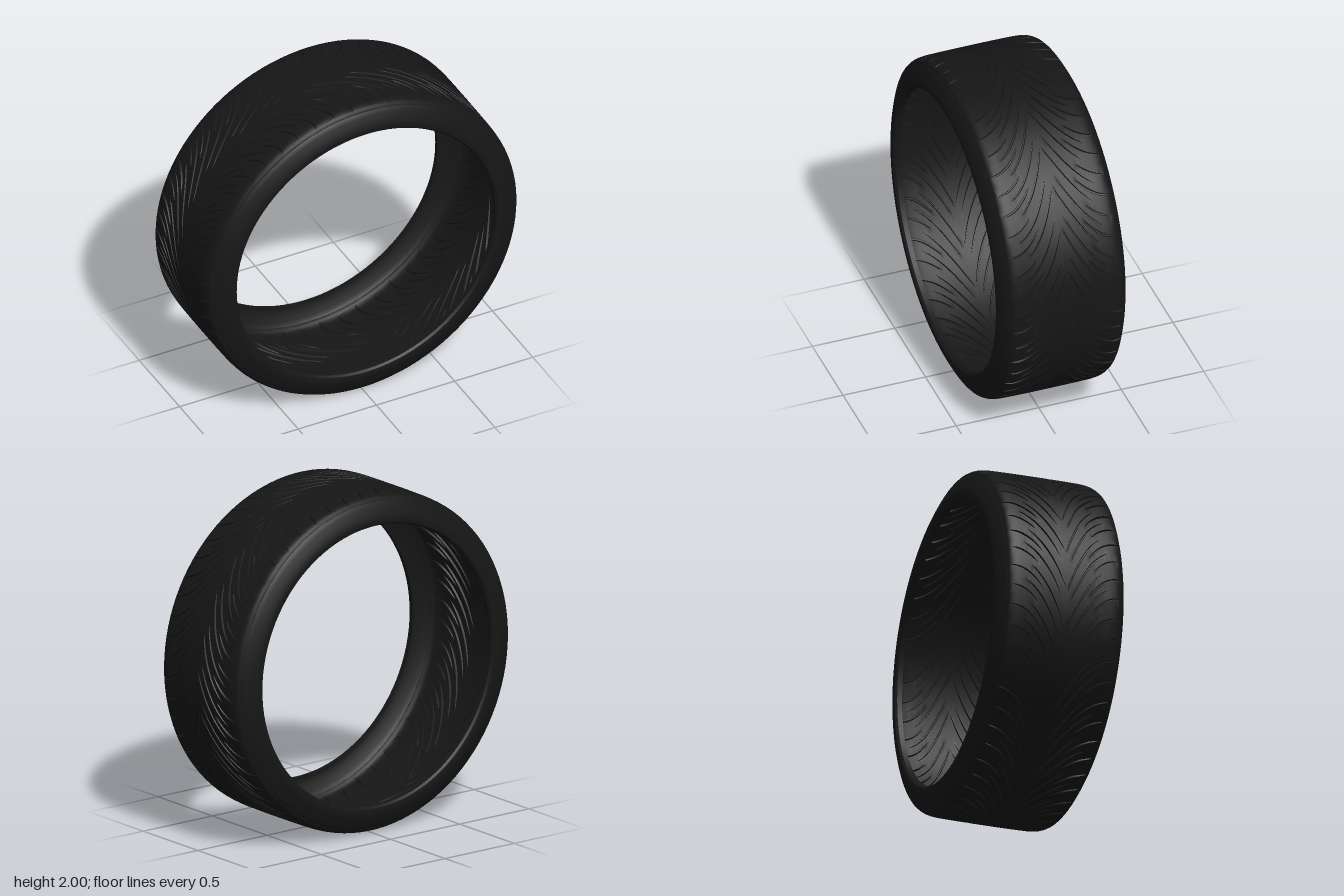
import * as THREE from 'three';
import { toCreasedNormals } from 'three/addons/utils/BufferGeometryUtils.js';

const TRACKS = 104;          // groove lines around the tread
const EDGE = 0.335;          // half width of the grooved tread
const SWEEP = 0.42;          // how far a groove trails from centre to shoulder (radians)
const DEPTH = 0.011;

// Shoulder and sidewall, from the bead outwards: [z, radius]
const WALL = [
  [0.345, 0.827], [0.374, 0.828], [0.386, 0.838], [0.39, 0.86], [0.383, 0.885],
  [0.372, 0.913], [0.36, 0.938], [0.349, 0.96], [0.345, 0.963], [0.342, 0.972],
];

// Crown of the tread: nearly flat, rounding off at the shoulder
const crown = z => {
  const u = Math.abs(z) / EDGE;
  return 1 - 0.003 * u * u - 0.017 * Math.pow(u, 14);
};

// Each groove trails steeply at the centre and turns axial at the shoulder
const trail = u => SWEEP * (1 - Math.pow(1 - Math.min(u, 1), 2.2));
const slope = u => (SWEEP * 2.2 / EDGE) * Math.pow(1 - Math.min(u, 1), 1.2);

// Start, end and half width of the four grooves of one repeat
const GROOVES = [
  { from: 0.42, to: 0.98, half: 0.008 },
  { from: 0.02, to: 0.62, half: 0.0065 },
  { from: 0.5, to: 0.96, half: 0.0065 },
  { from: 0.1, to: 0.74, half: 0.0065 },
];

// Tapered strength of a groove, 0 at both tips
function strength(groove, u) {
  const t = (u - groove.from) / (groove.to - groove.from);
  return t <= 0 || t >= 1 ? 0 : Math.sqrt(Math.sin(Math.PI * t));
}

// Cross-section rows from the back bead to the front bead
function sectionRows() {
  const rows = WALL.map(([z, r]) => ({ z: -z, r }));
  const n = 52;
  for (let i = 0; i <= n; i++) {
    const z = -EDGE + (2 * EDGE * i) / n;
    rows.push({ z, r: crown(z) });
  }
  return rows.concat([...WALL].reverse().map(([z, r]) => ({ z, r })));
}

// One shell whose grid lines follow the grooves
function tyreGeometry() {
  const rows = sectionRows();
  const columns = TRACKS * 4;
  const positions = [];
  const indices = [];
  const sides = [-1, -0.55, 0.55, 1];

  for (const { z, r } of rows) {
    const u = Math.abs(z) / EDGE;
    for (let k = 0; k < TRACKS; k++) {
      const groove = GROOVES[k % 4];
      const s = strength(groove, u);
      const half = groove.half * Math.hypot(1, slope(u)) * (0.35 + 0.65 * s);
      sides.forEach((side, n) => {
        const angle = (k / TRACKS) * Math.PI * 2 + trail(u) + side * half;
        const radius = r - (n === 1 || n === 2 ? DEPTH * s : 0);
        positions.push(radius * Math.sin(angle), radius * Math.cos(angle), z);
      });
    }
  }

  for (let j = 0; j < rows.length - 1; j++) {
    for (let i = 0; i < columns; i++) {
      const next = (i + 1) % columns;
      const a = j * columns + i, b = j * columns + next;
      const c = a + columns, d = b + columns;
      // Split along the shorter diagonal of the sheared cell
      if (rows[j].z < 0) indices.push(a, c, d, a, d, b);
      else indices.push(a, c, b, b, c, d);
    }
  }

  const geometry = new THREE.BufferGeometry();
  geometry.setAttribute('position', new THREE.Float32BufferAttribute(positions, 3));
  geometry.setIndex(indices);
  return toCreasedNormals(geometry, 0.6);
}

export function createModel() {
  const group = new THREE.Group();
  group.name = 'tyre';
  const rubber = new THREE.MeshStandardMaterial({ color: 0x161616, side: THREE.DoubleSide });
  const shell = new THREE.Mesh(tyreGeometry(), rubber);
  shell.name = 'treadAndSidewalls';
  shell.position.y = 1;
  group.add(shell);
  return group;
}
